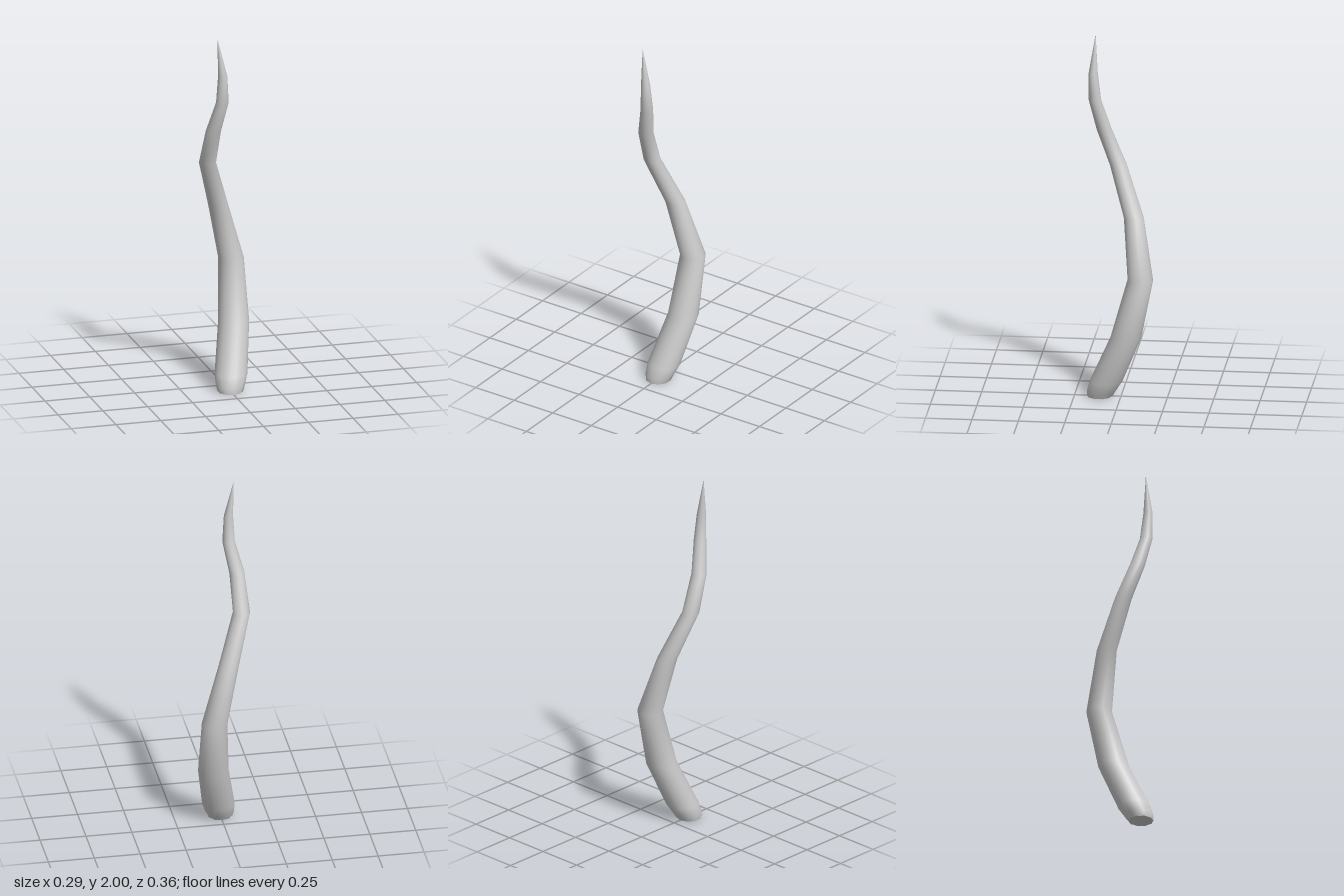
import * as THREE from 'three';

const SIDES = 20;

// Cross-sections from base to tip: centre x, y, z and radius
const RINGS = [
  [0.0, 0.0, 0.115, 0.066],
  [0.003, 0.03, 0.105, 0.077],
  [0.015, 0.09, 0.078, 0.088],
  [0.062, 0.35, -0.033, 0.083],
  [0.07, 0.68, -0.112, 0.069],
  [-0.015, 1.0, -0.068, 0.054],
  [-0.101, 1.27, 0.025, 0.046],
  [-0.09, 1.47, 0.1, 0.041],
  [-0.053, 1.64, 0.145, 0.034],
  [-0.054, 1.79, 0.155, 0.025],
  [-0.08, 2.0, 0.145, 0.0005],
];

// Point on a ring; the lowest ring is slightly puckered
function ringPoint(ring, j) {
  const [x, y, z, r] = RINGS[ring];
  const a = (j % SIDES) / SIDES * Math.PI * 2;
  const k = ring === 0 ? r * (1 + 0.04 * Math.cos(a * 10)) : r;
  return [x + Math.sin(a) * k, y, z + Math.cos(a) * k];
}

function makeGeometry(positions, index) {
  const g = new THREE.BufferGeometry();
  g.setAttribute('position', new THREE.Float32BufferAttribute(positions, 3));
  g.setIndex(index);
  g.computeVertexNormals();
  return g;
}

export function createModel() {
  const group = new THREE.Group();
  group.name = 'tendril';
  const material = new THREE.MeshStandardMaterial({ color: 0xcccccc });

  // Tapering, twisting stalk skinned through the rings
  const positions = [], index = [];
  RINGS.forEach((_, i) => {
    for (let j = 0; j < SIDES; j++) positions.push(...ringPoint(i, j));
  });
  for (let i = 0; i < RINGS.length - 1; i++) {
    for (let j = 0; j < SIDES; j++) {
      const a = i * SIDES + j, b = i * SIDES + (j + 1) % SIDES;
      index.push(a, b, b + SIDES, a, b + SIDES, a + SIDES);
    }
  }
  const stalk = new THREE.Mesh(makeGeometry(positions, index), material);
  stalk.name = 'stalk';
  group.add(stalk);

  // Flat underside, facing down
  const capPositions = RINGS[0].slice(0, 3), capIndex = [];
  for (let j = 0; j < SIDES; j++) {
    capPositions.push(...ringPoint(0, j));
    capIndex.push(0, 1 + (j + 1) % SIDES, 1 + j);
  }
  const cap = new THREE.Mesh(makeGeometry(capPositions, capIndex), material);
  cap.name = 'baseCap';
  group.add(cap);

  return group;
}
